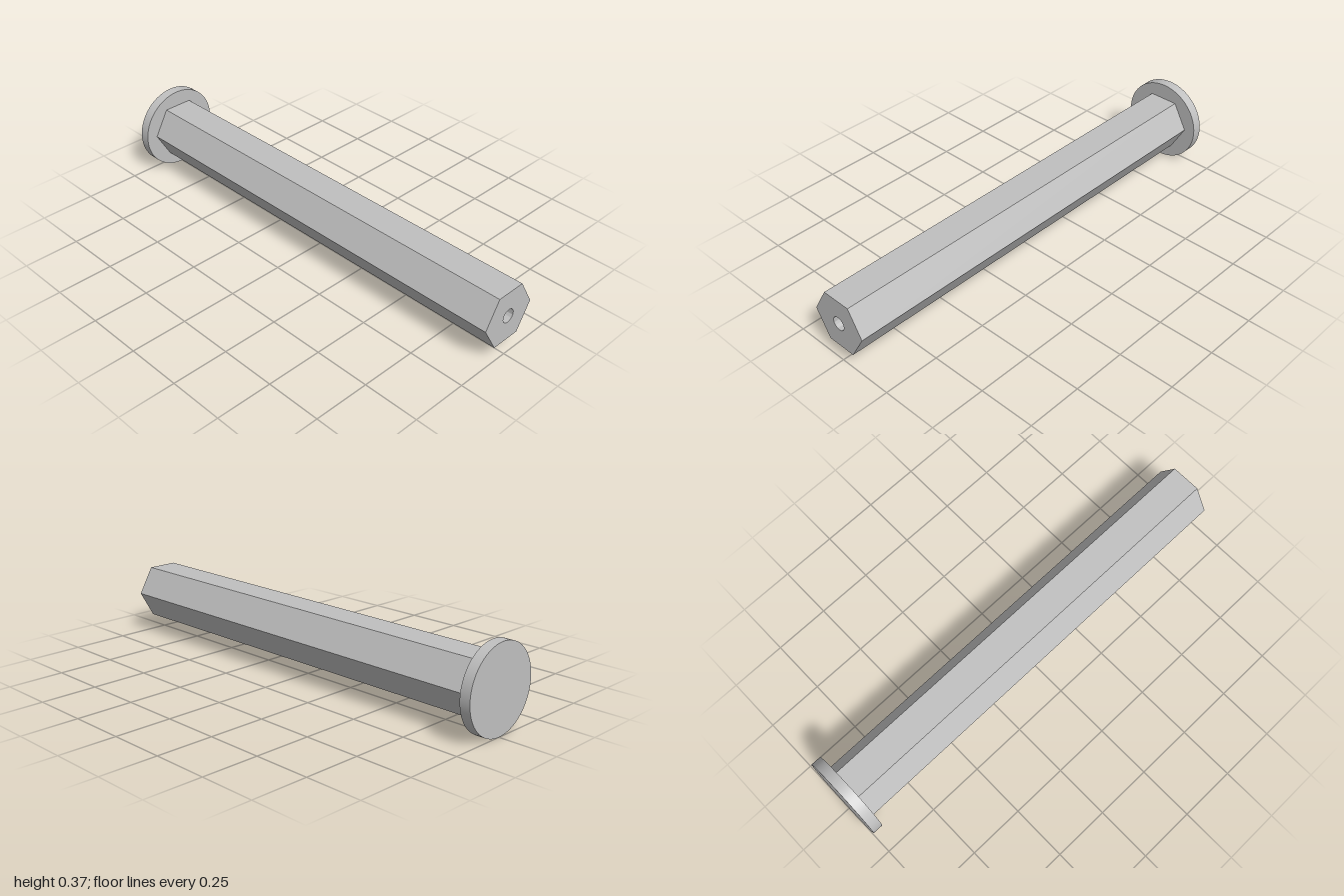
import * as THREE from 'three';
import { toCreasedNormals } from 'three/addons/utils/BufferGeometryUtils.js';

const AXIS_Y = 0.1865;        // height of the long axis
const HEAD_RADIUS = 0.1865;
const HEAD_THICKNESS = 0.046;
const HEX_RADIUS = 0.134;     // centre to corner
const BORE_RADIUS = 0.03;

export function createModel() {
  const group = new THREE.Group();
  group.name = 'hexStandoff';
  const metal = new THREE.MeshStandardMaterial({ color: 0xc0c0c0 });
  metal.name = 'light grey metal';

  // Hexagonal shaft with a round bore, corners pointing left and right
  const hex = new THREE.Shape();
  const corners = [];
  for (let i = 0; i < 6; i++) {
    const a = (i * Math.PI) / 3;
    corners.push(new THREE.Vector2(HEX_RADIUS * Math.cos(a), HEX_RADIUS * Math.sin(a)));
  }
  hex.setFromPoints(corners);
  hex.closePath();
  const bore = new THREE.Path();
  bore.absarc(0, 0, BORE_RADIUS, 0, Math.PI * 2, true);
  hex.holes.push(bore);
  const shaftGeometry = new THREE.ExtrudeGeometry(hex, {
    depth: 2 - HEAD_THICKNESS, bevelEnabled: false, curveSegments: 48,
  });
  const shaft = new THREE.Mesh(toCreasedNormals(shaftGeometry, 0.5), metal);
  shaft.name = 'hexShaft';
  shaft.position.set(0, AXIS_Y, -1 + HEAD_THICKNESS);
  group.add(shaft);

  // Flat round head closing the back end
  const headGeometry = new THREE.CylinderGeometry(HEAD_RADIUS, HEAD_RADIUS, HEAD_THICKNESS, 96);
  headGeometry.rotateX(Math.PI / 2);
  const head = new THREE.Mesh(headGeometry, metal);
  head.name = 'roundHead';
  head.position.set(0, AXIS_Y, -1 + HEAD_THICKNESS / 2);
  group.add(head);

  return group;
}
